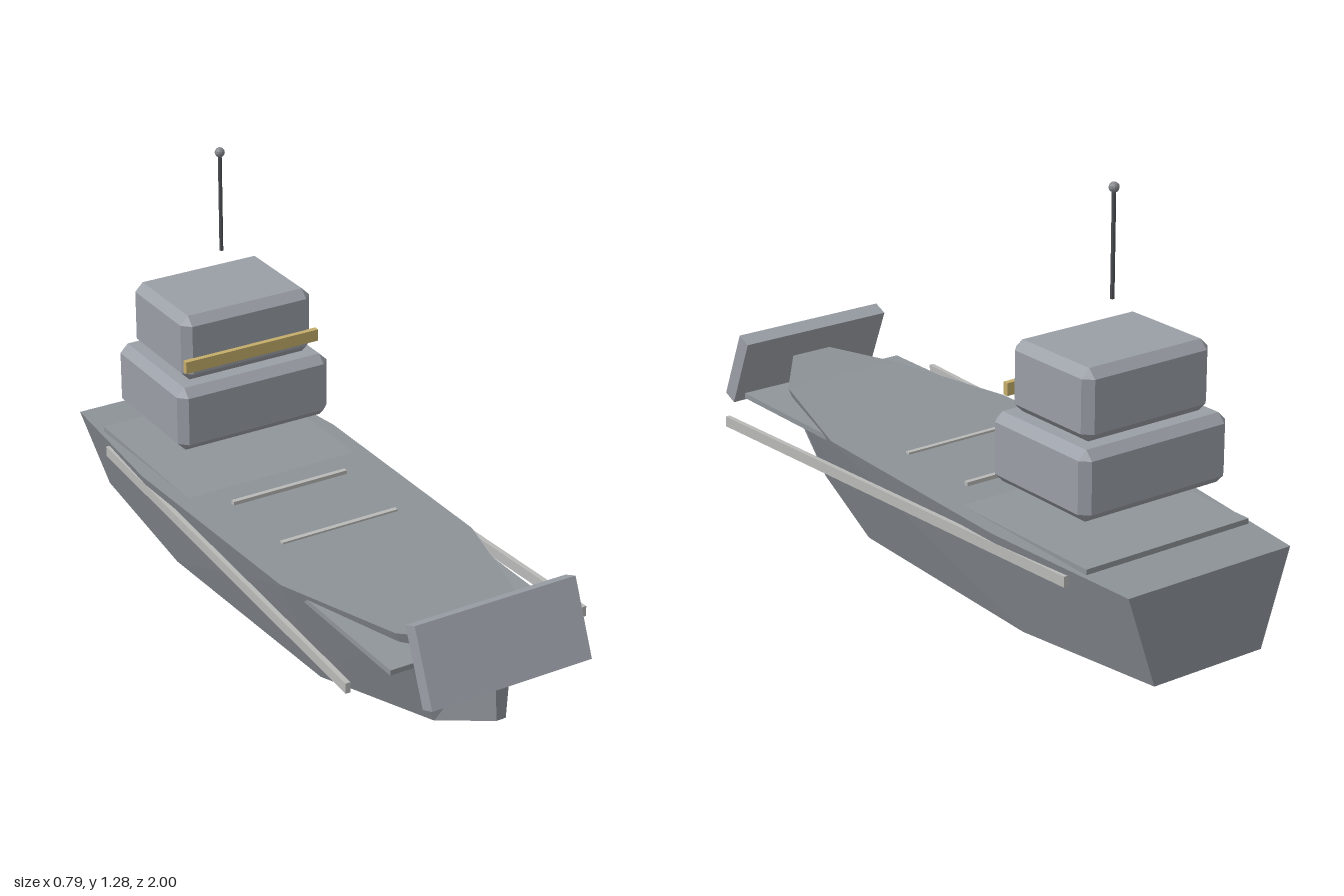
import * as THREE from 'three';
import { ConvexGeometry } from 'three/addons/geometries/ConvexGeometry.js';

const paint = (name, color) => {
  const m = new THREE.MeshStandardMaterial({ color, flatShading: true });
  m.name = name;
  return m;
};

// Hull stations from stern to bow: z, deck y, deck half width, keel y, keel half width
const STATIONS = [
  [-1.0, 0.31, 0.285, 0.03, 0.19],
  [-0.48, 0.329, 0.336, 0.003, 0.225],
  [0.32, 0.345, 0.32, 0.003, 0.19],
  [0.73, 0.363, 0.2, 0.042, 0.07],
  [0.95, 0.4, 0.03, 0.145, 0.015],
];

function hullGeometry() {
  const rings = STATIONS.map(([z, top, tw, low, bw]) =>
    [[tw, top, z], [-tw, top, z], [-bw, low, z], [bw, low, z]]);
  const pos = [];
  const tri = (...pts) => pts.forEach((p) => pos.push(...p));
  for (let s = 0; s < rings.length - 1; s++) {
    const r0 = rings[s], r1 = rings[s + 1];
    for (let i = 0; i < 4; i++) {
      const j = (i + 1) % 4;
      // mirrored diagonals on the two sides
      if (i === 1) { tri(r0[i], r0[j], r1[i]); tri(r0[j], r1[j], r1[i]); }
      else { tri(r0[i], r0[j], r1[j]); tri(r0[i], r1[j], r1[i]); }
    }
  }
  const stern = rings[0], bow = rings[rings.length - 1];
  tri(bow[0], bow[1], bow[2]); tri(bow[0], bow[2], bow[3]);
  tri(stern[0], stern[2], stern[1]); tri(stern[0], stern[3], stern[2]);
  const g = new THREE.BufferGeometry();
  g.setAttribute('position', new THREE.Float32BufferAttribute(pos, 3));
  g.computeVertexNormals();
  return g;
}

// Box with all edges cut at 45 degrees
function chamferBox(w, h, d, c) {
  const pts = [];
  for (const x of [-1, 1]) for (const y of [-1, 1]) for (const z of [-1, 1]) {
    for (let axis = 0; axis < 3; axis++) {
      const inset = [0, 1, 2].map((a) => (a === axis ? 0 : c));
      pts.push(new THREE.Vector3(
        x * (w / 2 - inset[0]), y * (h / 2 - inset[1]), z * (d / 2 - inset[2])));
    }
  }
  return new ConvexGeometry(pts);
}

export function createModel() {
  const group = new THREE.Group();
  const hullGrey = paint('hull grey', 0x8d9298);
  const deckGrey = paint('deck grey', 0x90959a);
  const houseGrey = paint('superstructure grey', 0x9a9ea6);
  const trimGrey = paint('light trim', 0xb9bab8);
  const glass = paint('amber glass', 0xc4ad6a);
  const mastGrey = paint('mast grey', 0x4a4d52);
  const ballGrey = paint('beacon grey', 0x85888c);

  const add = (name, geo, mat, x, y, z) => {
    const m = new THREE.Mesh(geo, mat);
    m.name = name;
    m.position.set(x, y, z);
    group.add(m);
    return m;
  };
  const box = (w, h, d) => new THREE.BoxGeometry(w, h, d);

  // Hull, deck plate and tilted bow ramp
  add('hull', hullGeometry(), hullGrey, 0, 0, 0);
  add('deckPlate', box(0.575, 0.016, 1.67), deckGrey, 0, 0.325, 0.006);
  add('bowRamp', box(0.515, 0.233, 0.049), houseGrey, 0, 0.379, 0.9325).rotation.x = -0.4;

  // Deck stripes
  for (const z of [-0.175, 0.11, 0.395]) {
    add('deckStripe', box(0.39, 0.015, 0.015), trimGrey, 0, 0.3395, z);
  }

  // Side rails, splayed towards the bow
  for (const side of [-1, 1]) {
    add('sideRail', box(0.015, 0.032, 1.555), trimGrey, side * 0.345, 0.281, 0.01)
      .rotation.y = side * 0.052;
  }

  // Two-tier bridge with window band
  add('lowerBridge', chamferBox(0.516, 0.205, 0.413, 0.026), houseGrey, 0, 0.533, -0.573);
  add('upperBridge', chamferBox(0.44, 0.207, 0.337, 0.026), houseGrey, 0, 0.742, -0.573);
  add('bridgeWindow', box(0.452, 0.037, 0.018), glass, 0, 0.7, -0.397);

  // Mast and beacon
  add('mast', new THREE.CylinderGeometry(0.006, 0.006, 0.31, 8), mastGrey, 0, 1.115, -0.573);
  add('mastBeacon', new THREE.SphereGeometry(0.015, 12, 8), ballGrey, 0, 1.272, -0.573);

  return group;
}
